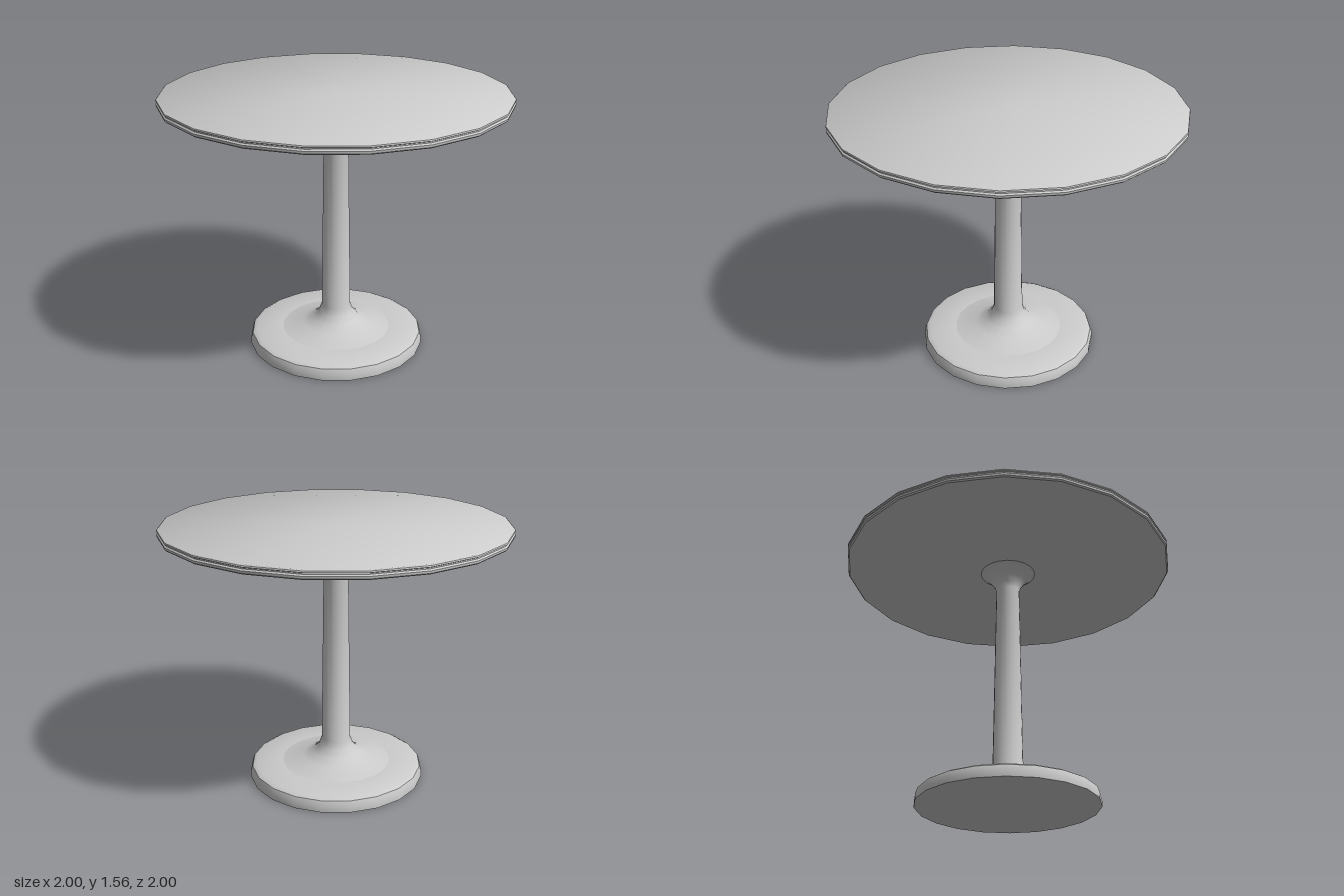
import * as THREE from 'three';
import { toCreasedNormals } from 'three/addons/utils/BufferGeometryUtils.js';

const SIDES = 20;

// Revolves a [radius, height] profile, listed from bottom to top
function turned(name, profile, material) {
  const points = profile.map(([r, y]) => new THREE.Vector2(r, y));
  const geometry = toCreasedNormals(new THREE.LatheGeometry(points, SIDES), 0.6);
  const mesh = new THREE.Mesh(geometry, material);
  mesh.name = name;
  return mesh;
}

export function createModel() {
  const group = new THREE.Group();
  group.name = 'pedestalTable';
  const material = new THREE.MeshStandardMaterial({ color: 0xcccccc });

  // Round foot with a softened rim
  group.add(turned('base', [
    [0, 0], [0.527, 0], [0.527, 0.035], [0.515, 0.068], [0.49, 0.082], [0.32, 0.085], [0, 0.085],
  ], material));

  // Tapered column, flared at both ends
  group.add(turned('column', [
    [0.34, 0.082], [0.2, 0.114], [0.14, 0.146], [0.105, 0.185], [0.088, 0.23],
    [0.071, 1.385], [0.08, 1.418], [0.105, 1.455], [0.135, 1.485], [0.17, 1.512],
  ], material));

  // Thin top with a groove around its edge
  group.add(turned('tableTop', [
    [0, 1.51], [0.99, 1.51], [0.998, 1.517], [1, 1.53], [0.992, 1.538],
    [0.992, 1.544], [1, 1.548], [0.998, 1.556], [0.992, 1.56], [0, 1.56],
  ], material));

  return group;
}
